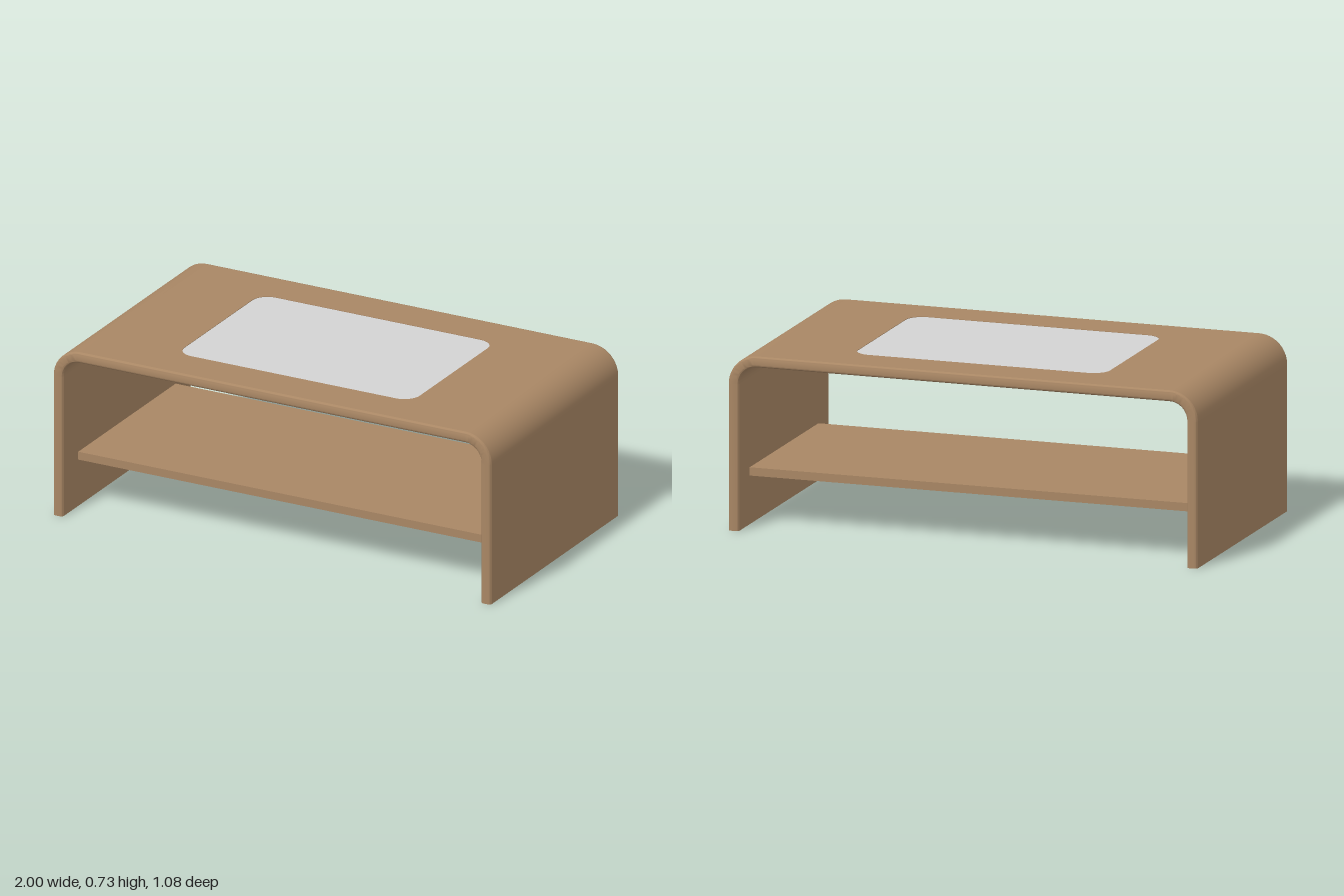
import * as THREE from 'three';
import { toCreasedNormals } from 'three/addons/utils/BufferGeometryUtils.js';

const HALF_Z = 0.542, TOP = 0.725, THICK = 0.045, BEND = 0.12, EDGE = 0.012;
const BEND_X = 1 - BEND, BEND_Y = TOP - BEND;

// Rounded rectangle, counter-clockwise, with its own radius on the left and right corners
function roundedRect(x0, y0, x1, y1, rLeft, rRight = rLeft) {
  const s = new THREE.Shape();
  const h = Math.PI / 2;
  const corner = (x, y, r, a) => (r > 0 ? s.absarc(x, y, r, a, a + h, false) : s.lineTo(x, y));
  s.moveTo(x0 + rLeft, y0);
  corner(x1 - rRight, y0 + rRight, rRight, -h);
  corner(x1 - rRight, y1 - rRight, rRight, 0);
  corner(x0 + rLeft, y1 - rLeft, rLeft, h);
  corner(x0 + rLeft, y0 + rLeft, rLeft, 2 * h);
  return s;
}

const extrude = (shape, depth) =>
  new THREE.ExtrudeGeometry(shape, { depth, bevelEnabled: false, curveSegments: 8 });

export function createModel() {
  const group = new THREE.Group();
  const wood = new THREE.MeshStandardMaterial({ color: 0xa88664 });
  wood.name = 'wood';
  const glass = new THREE.MeshStandardMaterial({ color: 0xd2d2d2 });
  glass.name = 'frosted glass';

  const add = (name, geometry, material = wood, parent = group) => {
    const mesh = new THREE.Mesh(toCreasedNormals(geometry, 0.6), material);
    mesh.name = name;
    parent.add(mesh);
    return mesh;
  };

  // Table top with a rounded opening
  const flatZ = HALF_Z - EDGE;
  const plan = roundedRect(-BEND_X, -flatZ, BEND_X, flatZ, 0);
  plan.holes.push(roundedRect(-0.537, -0.355, 0.537, 0.355, 0.07));
  add('tableTop', extrude(plan, THICK).rotateX(-Math.PI / 2).translate(0, TOP - THICK, 0));

  // Softened front and back edges of the top
  const lip = roundedRect(0, 0, EDGE, THICK, 0, EDGE);
  for (const side of [1, -1]) {
    const holder = new THREE.Group();
    holder.name = side > 0 ? 'frontEdge' : 'backEdge';
    holder.rotation.y = side > 0 ? 0 : Math.PI;
    add('edgeStrip', extrude(lip, 2 * BEND_X).rotateY(-Math.PI / 2)
      .translate(BEND_X, TOP - THICK, flatZ), wood, holder);
    group.add(holder);
  }

  // Glass inlay, a hair below the wood on both faces
  add('glassInlay', extrude(roundedRect(-0.537, -0.355, 0.537, 0.355, 0.07), THICK - 0.004)
    .rotateX(-Math.PI / 2).translate(0, TOP - THICK + 0.002, 0), glass);

  // Bent corners and side panels
  const section = roundedRect(BEND - THICK, -HALF_Z, BEND, HALF_Z, EDGE);
  const profile = section.getPoints(6);
  profile.push(profile[0].clone());
  for (const side of [1, -1]) {
    const holder = new THREE.Group();
    holder.name = side > 0 ? 'leftSide' : 'rightSide';
    holder.rotation.y = side > 0 ? 0 : Math.PI;
    add('bentCorner', new THREE.LatheGeometry(profile, 20, Math.PI / 2, Math.PI / 2)
      .rotateX(Math.PI / 2).translate(BEND_X, BEND_Y, 0), wood, holder);
    add('sidePanel', extrude(section, BEND_Y).rotateX(-Math.PI / 2)
      .translate(BEND_X, 0, 0), wood, holder);
    group.add(holder);
  }

  // Lower shelf between the side panels
  add('shelf', new THREE.BoxGeometry(2 * (1 - THICK), 0.034, 0.82).translate(0, 0.218, 0));

  return group;
}
